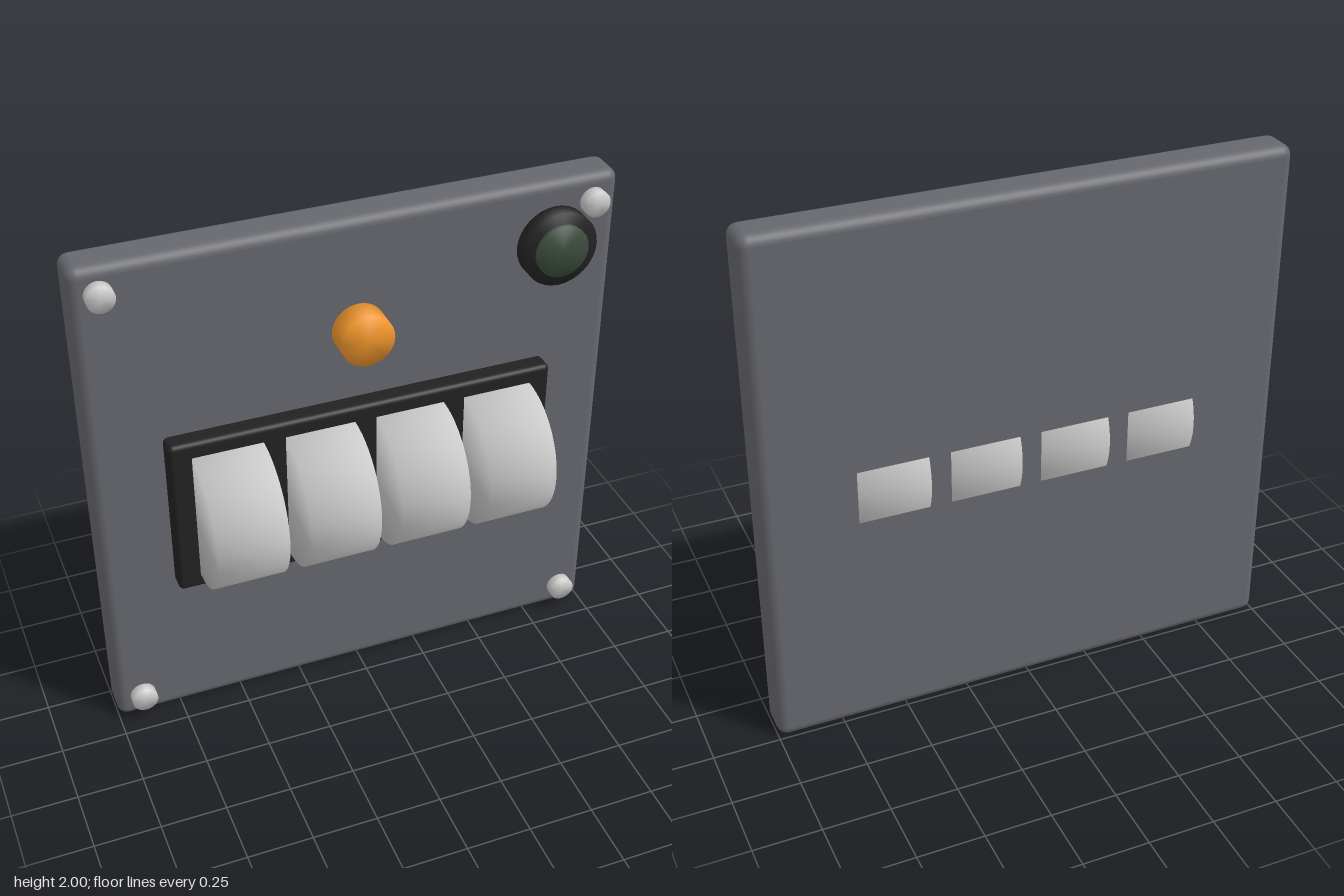
import * as THREE from 'three';
import { mergeVertices } from 'three/addons/utils/BufferGeometryUtils.js';
import { RoundedBoxGeometry } from 'three/addons/geometries/RoundedBoxGeometry.js';

const material = (color) => new THREE.MeshStandardMaterial({ color });
const plateMat = material(0x67686e);
const blackMat = material(0x222222);
const metalMat = material(0xcccccc);
const lampMat = material(0xf0962c);
const greenMat = material(0x3c4c3e);

// Cylinder whose rim and caps share normals, giving soft, pillowy shading
function softCylinder(radius, length, segments) {
  let geometry = new THREE.CylinderGeometry(radius, radius, length, segments);
  geometry.deleteAttribute('normal');
  geometry.deleteAttribute('uv');
  geometry = mergeVertices(geometry);
  geometry.computeVertexNormals();
  return geometry;
}

export function createModel() {
  const model = new THREE.Group();
  model.name = 'counterPanel';

  function add(name, geometry, mat, x, y, z) {
    const mesh = new THREE.Mesh(geometry, mat);
    mesh.name = name;
    mesh.position.set(x, y, z);
    model.add(mesh);
    return mesh;
  }

  // Disc facing the front, between two depths
  function addDisc(name, radius, back, front, mat, x, y) {
    const geometry = softCylinder(radius, front - back, 32).rotateX(Math.PI / 2);
    return add(name, geometry, mat, x, y, (back + front) / 2);
  }

  // Backing plate and the dark frame around the drums
  add('backPlate', new RoundedBoxGeometry(2, 2, 0.16, 3, 0.04), plateMat, 0, 1, -0.17);
  add('drumFrame', new RoundedBoxGeometry(1.47, 0.65, 0.085, 3, 0.02), blackMat, 0, 0.965, -0.048);

  // Four counter drums, poking out through the back of the plate
  const drumGeometry = softCylinder(0.265, 0.265, 48).rotateZ(Math.PI / 2);
  for (let i = 0; i < 4; i++) {
    add('drum' + (i + 1), drumGeometry, metalMat, (i - 1.5) * 0.347, 0.965, -0.006);
  }

  // Indicator lamp
  addDisc('indicatorLamp', 0.1, -0.078, 0.02, lampMat, 0, 1.575);

  // Push button
  addDisc('buttonBezel', 0.143, -0.092, -0.027, blackMat, 0.753, 1.76);
  addDisc('buttonCap', 0.1, -0.06, -0.007, greenMat, 0.753, 1.76);

  // Corner screws
  for (const x of [-0.9, 0.9]) {
    for (const y of [0.1, 1.9]) addDisc('screw', 0.05, -0.1, -0.049, metalMat, x, y);
  }

  return model;
}
